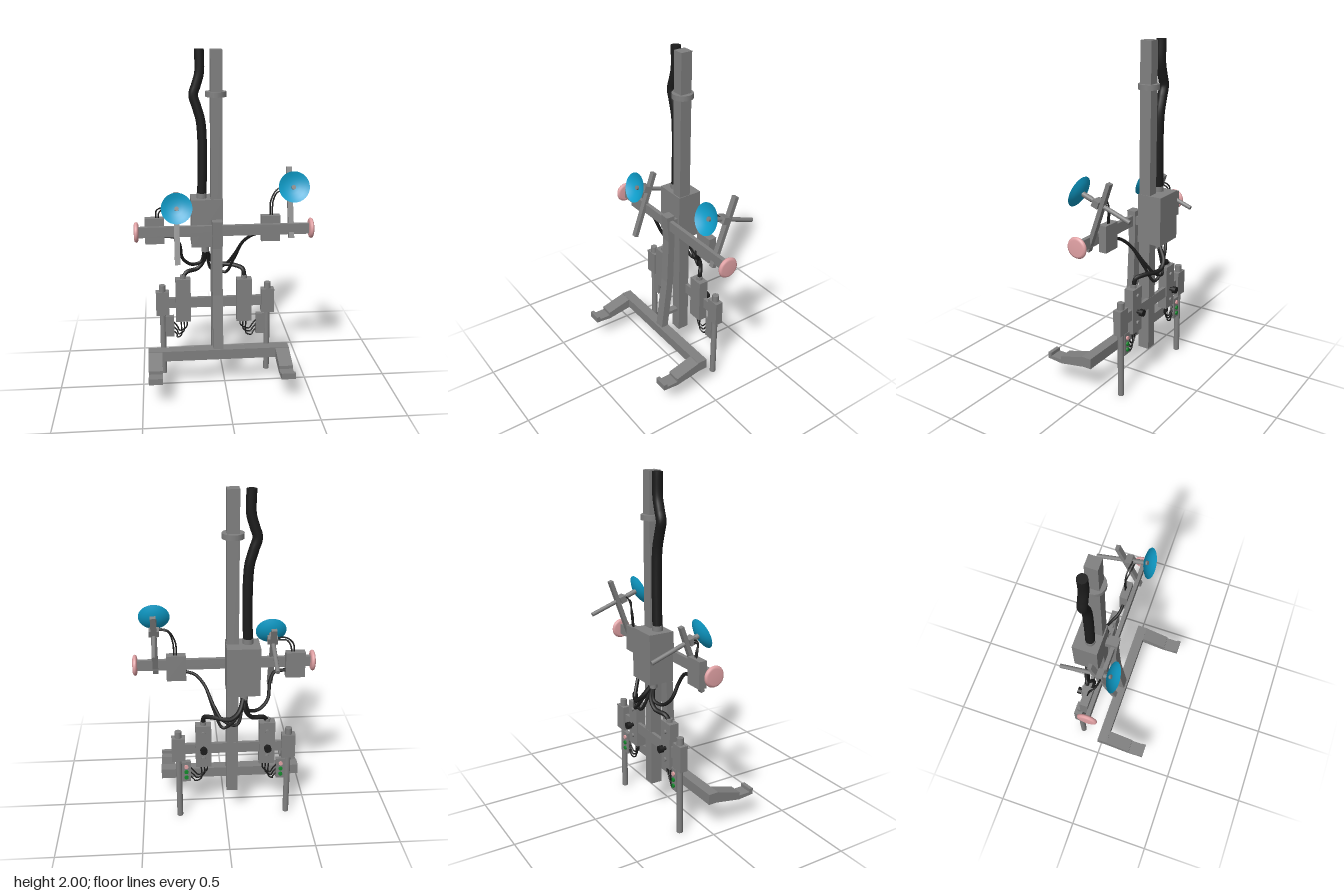
import * as THREE from 'three';

const mat = (name, color, side = THREE.FrontSide) => {
  const m = new THREE.MeshStandardMaterial({ color, side });
  m.name = name;
  return m;
};

export function createModel() {
  const root = new THREE.Group();
  root.name = 'dishStand';
  const grey = mat('grey metal', 0x808080);
  const black = mat('black rubber', 0x1c1c1c);
  const blue = mat('blue dish', 0x0f9fcc, THREE.DoubleSide);
  const pink = mat('pink cap', 0xe3a3a6);
  const green = mat('green light', 0x138a2c);

  const add = (name, geo, m, parent = root) => {
    const mesh = new THREE.Mesh(geo, m);
    mesh.name = name;
    parent.add(mesh);
    return mesh;
  };
  // box from minimum and maximum corners
  const box = (name, x0, x1, y0, y1, z0, z1, m = grey, parent = root) => {
    const b = add(name, new THREE.BoxGeometry(x1 - x0, y1 - y0, z1 - z0), m, parent);
    b.position.set((x0 + x1) / 2, (y0 + y1) / 2, (z0 + z1) / 2);
    return b;
  };
  // cylinder along y, or along z when lying
  const cyl = (name, r, h, x, y, z, m = grey, lying = false, parent = root) => {
    const geo = new THREE.CylinderGeometry(r, r, h, 20);
    if (lying) geo.rotateX(Math.PI / 2);
    const c = add(name, geo, m, parent);
    c.position.set(x, y, z);
    return c;
  };
  const cable = (name, r, pts, sides = 8, m = black) => {
    const curve = new THREE.CatmullRomCurve3(pts.map(p => new THREE.Vector3(...p)));
    return add(name, new THREE.TubeGeometry(curve, pts.length * 8, r, sides), m);
  };
  // side profile in (z, y), extruded across x
  const profile = (name, x0, x1, pts) => {
    const shape = new THREE.Shape(pts.map(p => new THREE.Vector2(...p)));
    const geo = new THREE.ExtrudeGeometry(shape, { depth: x1 - x0, bevelEnabled: false });
    geo.rotateY(-Math.PI / 2).translate(x1, 0, 0);
    return add(name, geo, grey);
  };

  // mast with collar
  box('mast', -0.073, -0.006, 0.17, 2, -0.157, -0.087);
  cyl('mastCollar', 0.061, 0.03, -0.04, 1.752, -0.123);

  // main hose and control box
  cable('mainHose', 0.028, [[-0.133, 2, -0.142], [-0.133, 1.87, -0.142], [-0.152, 1.8, -0.142],
    [-0.168, 1.745, -0.142], [-0.15, 1.68, -0.142], [-0.128, 1.6, -0.142], [-0.12, 1.5, -0.142],
    [-0.12, 1.3, -0.142], [-0.125, 1.14, -0.142]], 14);
  cyl('hoseCap', 0.028, 0.002, -0.133, 1.999, -0.142, black);
  cyl('hoseSocket', 0.03, 0.04, -0.125, 1.15, -0.142);
  box('controlBox', -0.19, -0.002, 0.85, 1.14, -0.23, -0.08);
  cyl('cableSocket', 0.023, 0.055, -0.105, 0.826, -0.16);

  // bent front post and its struts
  profile('frontPost', -0.072, -0.012, [[0, 1.027], [-0.054, 1.027], [-0.054, 0.86],
    [-0.045, 0.56], [0, 0.2], [0.045, 0.2], [0, 0.57], [-0.012, 0.86]]);
  box('lowerStrut', -0.062, -0.02, 0.31, 0.33, -0.09, 0);
  box('upperStrut', -0.062, -0.02, 0.945, 0.995, -0.09, -0.04);

  // base beam and feet
  box('baseBeam', -0.463, 0.387, 0.175, 0.238, -0.01, 0.052);
  for (const x of [-0.463, 0.305]) {
    profile('foot', x, x + 0.082, [[-0.01, 0.238], [0.04, 0.238], [0.205, 0.192], [0.205, 0.172],
      [0.277, 0.172], [0.277, 0.192], [0.3, 0.192], [0.3, 0.155], [0.2, 0.147], [0.04, 0.175], [-0.01, 0.175]]);
  }

  // crossbar with rounded end caps
  box('crossbar', -0.502, 0.502, 0.937, 1.0, -0.042, -0.018);
  const capProfile = [[0, -0.013], [0.045, -0.013], [0.056, -0.009], [0.061, 0],
    [0.056, 0.009], [0.045, 0.013], [0, 0.013]].map(p => new THREE.Vector2(...p));
  for (const s of [-1, 1]) {
    const cap = add('endCap', new THREE.LatheGeometry(capProfile, 32), pink);
    cap.rotation.z = Math.PI / 2;
    cap.position.set(s * 0.514, 0.97, -0.03);
  }

  // lower bar, ground poles, sensor units and terminal blocks
  box('lowerBar', -0.35, 0.26, 0.44, 0.505, -0.158, -0.138);
  const sides = [
    { s: -1, pole: -0.372, unit: -0.245, top: 0.635, block: -0.33 },
    { s: 1, pole: 0.279, unit: 0.131, top: 0.625, block: 0.235 },
  ];
  for (const { s, pole, unit, top, block } of sides) {
    box('poleClamp', pole - 0.04, pole + 0.04, 0.397, 0.55, -0.172, -0.124);
    cyl('polePin', 0.02, 0.04, pole, 0.57, -0.148);
    cyl('groundPole', 0.018, 0.4, pole, 0.2, -0.148);
    box('sensorUnit', unit - 0.046, unit + 0.046, top - 0.275, top, -0.165, -0.107);
    cyl('unitSocket', 0.018, 0.02, unit, top + 0.01, -0.138);
    cyl('knobStem', 0.011, 0.03, unit, 0.48, -0.175, black, true);
    cyl('knob', 0.021, 0.024, unit, 0.48, -0.197, black, true);
    for (const y of [0.58, 0.55 - 0.14]) cyl('unitButton', 0.012, 0.012, unit, y, -0.17, grey, true);
    box('terminalBlock', block - 0.027, block + 0.027, 0.25, 0.385, -0.162, -0.135);
    [pink, green, green].forEach((m, i) =>
      cyl('signalLight', 0.012, 0.01, block, 0.355 - i * 0.037, -0.166, m, true));
    // looped wires between unit and block
    for (let i = 0; i < 3; i++) {
      const u = unit + s * (i * 0.018 - 0.02), b = block - s * 0.02, y = 0.345 - i * 0.03;
      cable('loopWire', 0.0045, [[u, top - 0.27, -0.14], [u, y - 0.03, -0.14],
        [(u + b) / 2, y - 0.06 + i * 0.008, -0.145], [b - s * 0.025, y - 0.03, -0.15], [b, y, -0.15]], 6);
    }
  }

  // cables from the control box to the units
  cable('unitCable', 0.013, [[-0.105, 0.81, -0.16], [-0.11, 0.74, -0.18], [-0.15, 0.685, -0.175],
    [-0.22, 0.67, -0.15], [-0.245, 0.64, -0.138]]);
  cable('unitCable', 0.013, [[-0.1, 0.81, -0.17], [-0.07, 0.74, -0.215], [-0.02, 0.7, -0.222],
    [0.08, 0.695, -0.18], [0.125, 0.68, -0.148], [0.131, 0.63, -0.138]]);

  // relay boxes behind the crossbar, and their cables
  for (const x of [-0.408, 0.278]) box('relayBox', x - 0.056, x + 0.056, 0.89, 1.045, -0.09, -0.042);
  cable('relayCable', 0.01, [[-0.11, 0.81, -0.16], [-0.13, 0.73, -0.17], [-0.19, 0.72, -0.15],
    [-0.245, 0.77, -0.125], [-0.262, 0.87, -0.085], [-0.29, 0.92, -0.068], [-0.36, 0.93, -0.066]]);
  for (const d of [0, 0.05]) {
    cable('relayCable', 0.009, [[-0.1, 0.81, -0.165], [-0.06, 0.71 - d, -0.215], [0.02, 0.64 + d, -0.21],
      [0.07, 0.74 + d / 2, -0.17], [0.12, 0.87, -0.11], [0.17, 0.92, -0.075], [0.23, 0.94, -0.066]]);
  }

  // tilted dishes on rods and arms
  const dishProfile = [[0.01, -0.026], [0.035, -0.024], [0.065, -0.014], [0.09, 0]]
    .map(p => new THREE.Vector2(...p));
  const dishes = [
    { x: -0.279, y: 1.13, z: 0.05, armY: -0.11, armZ: -0.11 },
    { x: 0.397, y: 1.238, z: 0.037, armY: -0.076, armZ: -0.16 },
  ];
  for (const { x, y, z, armY, armZ } of dishes) {
    const g = new THREE.Group();
    g.name = 'dishAssembly';
    g.position.set(x, y, z);
    g.rotation.x = -0.34;
    root.add(g);
    add('dish', new THREE.LatheGeometry(dishProfile, 32).rotateX(Math.PI / 2), blue, g);
    cyl('emitter', 0.013, 0.02, 0, 0, -0.024, grey, true, g);
    cyl('dishHub', 0.015, 0.06, 0, 0, -0.058, grey, true, g);
    cyl('dishRod', 0.0125, 0.31, 0, 0, -0.187, grey, true, g);
    box('dishArm', -0.016, 0.016, armY - 0.212, armY + 0.212, armZ - 0.012, armZ + 0.012, grey, g);
    box('dishClamp', -0.029, 0.029, -0.02, 0.02, armZ + 0.012, armZ + 0.052, grey, g);
  }
  // thin wires from the relay boxes to the dishes
  for (const d of [0, 0.014]) {
    cable('dishWire', 0.0045, [[-0.4 + d, 1.04, -0.065], [-0.395 + d, 1.09 - d, -0.055],
      [-0.36, 1.115 - d, -0.03], [-0.29, 1.11 - d, -0.015]], 6);
    cable('dishWire', 0.0045, [[0.275 + d, 1.04, -0.07], [0.28 + d, 1.13, -0.075],
      [0.32, 1.2 - d, -0.075 + d], [0.39, 1.21 - d, -0.065 + d]], 6);
  }
  return root;
}
